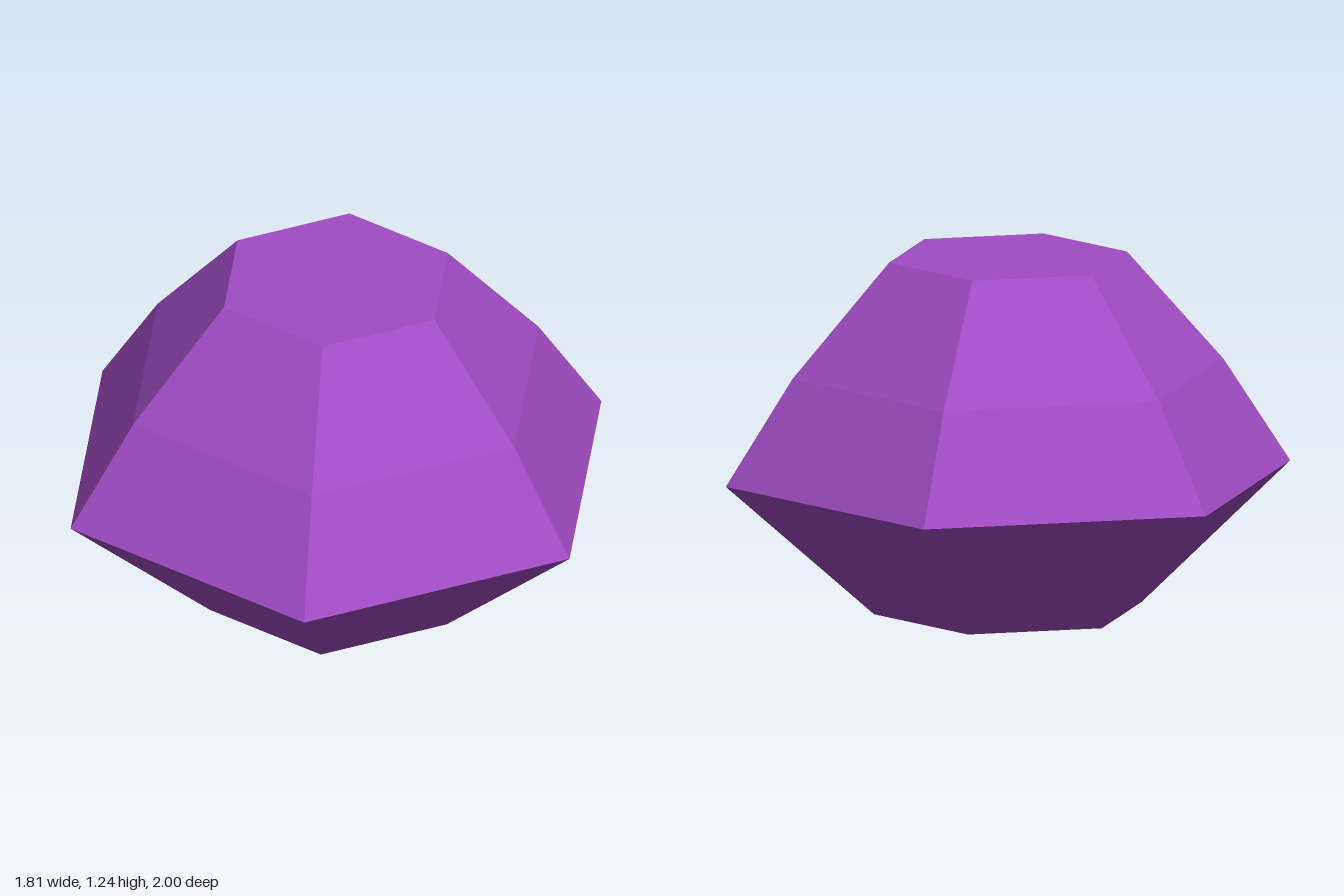
import * as THREE from 'three';

export function createModel() {
  const model = new THREE.Group();
  model.name = 'gem';

  const purple = new THREE.MeshStandardMaterial({ color: 0xa04cc4, flatShading: true });
  purple.name = 'purple crystal';

  const sides = 6;
  const turn = 0.08; // slight twist of the hexagon about y

  // Radius and height of each ring, bottom to top
  const base = [0.476, 0], girdle = [1.003, 0.475], shoulder = [0.766, 0.845], table = [0.423, 1.24];

  function add(name, geometry) {
    const flat = geometry.toNonIndexed();
    flat.computeVertexNormals();
    const mesh = new THREE.Mesh(flat, purple);
    mesh.name = name;
    model.add(mesh);
    return mesh;
  }

  function facets(name, ...rings) {
    const profile = rings.map(([r, y]) => new THREE.Vector2(r, y));
    add(name, new THREE.LatheGeometry(profile, sides, turn));
  }

  // up is 1 for a face looking up, -1 for one looking down
  function flatFace(name, [r, y], up) {
    const start = up * (turn - Math.PI / 2);
    const face = new THREE.CircleGeometry(r, sides, start).rotateX(-up * Math.PI / 2);
    add(name, face).position.y = y;
  }

  facets('lowerFacets', base, girdle);
  facets('upperFacets', girdle, shoulder, table);
  flatFace('topFace', table, 1);
  flatFace('bottomFace', base, -1);

  return model;
}
